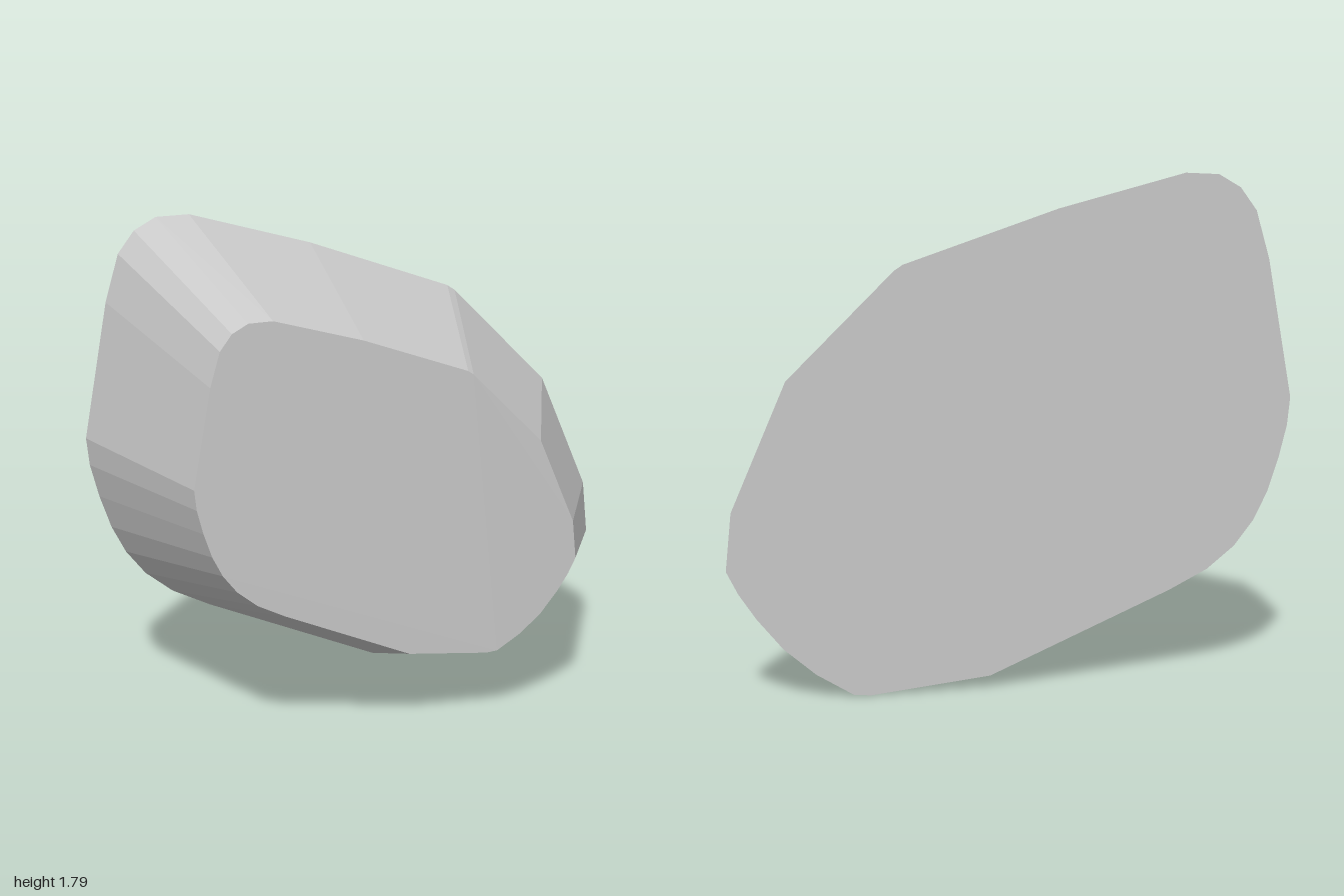
import * as THREE from 'three';

// Outline of the large back face, counter-clockwise from the bottom
const OUTLINE = [
  [0.09, 0.045], [0.51, 0], [0.57, 0.005], [0.70, 0.085], [0.81, 0.18], [0.90, 0.29], [0.96, 0.38],
  [1, 0.46], [0.98, 0.66], [0.79, 1.10], [0.42, 1.465], [0.39, 1.485], [-0.15, 1.67],
  [-0.60, 1.79], [-0.72, 1.785], [-0.80, 1.74], [-0.86, 1.66], [-0.91, 1.49],
  [-1, 1.0], [-0.99, 0.9], [-0.96, 0.78], [-0.92, 0.66], [-0.87, 0.56],
  [-0.80, 0.47], [-0.70, 0.39], [-0.56, 0.32],
];
const HALF_DEPTH = 0.33;
const TAPER = 0.7;

export function createModel() {
  const group = new THREE.Group();
  group.name = 'rock';
  const stone = new THREE.MeshStandardMaterial({ color: 0xc8c8c8 });
  stone.name = 'stone grey';

  // Straight slab through the outline
  const shape = new THREE.Shape(OUTLINE.map(([x, y]) => new THREE.Vector2(x, y)));
  const geometry = new THREE.ExtrudeGeometry(shape, { depth: 2 * HALF_DEPTH, bevelEnabled: false });
  geometry.translate(0, 0, -HALF_DEPTH);

  // Shrink and shift the front face to slope the sides
  const p = geometry.attributes.position;
  for (let i = 0; i < p.count; i++) {
    if (p.getZ(i) > 0) {
      p.setXY(i, p.getX(i) * TAPER - 0.06, p.getY(i) * TAPER + 0.255);
    }
  }
  geometry.computeVertexNormals();

  const body = new THREE.Mesh(geometry, stone);
  body.name = 'rockBody';
  group.add(body);
  return group;
}
